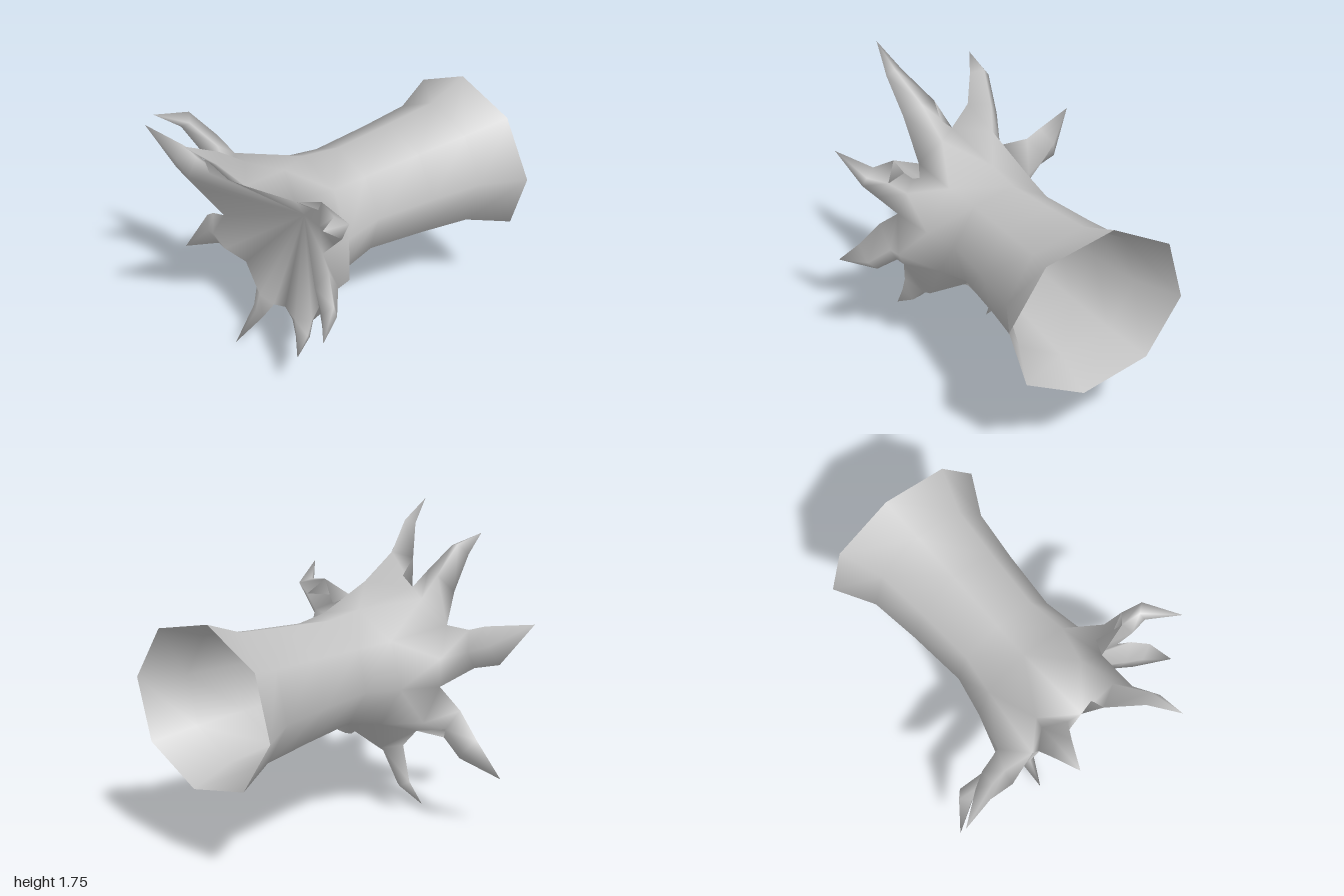
import * as THREE from 'three';

const V = (p) => new THREE.Vector3(...p);

// Claws in counter-clockwise order. Each has the notch before it, two
// cross-sections (x, y, z, half width, half thickness) and a pointed tip.
const CLAWS = [
  { notch: [0.52, 0.98, 0.35], low: [0.58, 1.21, 0.36, 0.115, 0.08], high: [0.68, 1.245, 0.37, 0.06, 0.06], tip: [0.79, 1.36, 0.54] },
  { notch: [0.35, 1.23, 0.4], low: [0.2, 1.43, 0.67, 0.105, 0.08], high: [0.27, 1.61, 0.83, 0.05, 0.045], tip: [0.29, 1.75, 1.0] },
  { notch: [0.03, 1.3, 0.59], low: [-0.18, 1.37, 0.6, 0.11, 0.08], high: [-0.225, 1.54, 0.71, 0.065, 0.055], tip: [-0.25, 1.62, 0.87] },
  { notch: [-0.27, 1.13, 0.55], low: [-0.47, 1.03, 0.53, 0.11, 0.11], high: [-0.6, 1.07, 0.55, 0.115, 0.06], tip: [-0.81, 1.21, 0.65] },
  { notch: [-0.31, 0.79, 0.45], low: [-0.43, 0.6, 0.42, 0.11, 0.08], high: [-0.59, 0.5, 0.37, 0.09, 0.06], tip: [-0.74, 0.33, 0.48] },
  { notch: [-0.19, 0.51, 0.39], low: [-0.02, 0.38, 0.37, 0.09, 0.07], high: [-0.12, 0.18, 0.36, 0.05, 0.04], tip: [-0.14, 0.0, 0.51] },
  { notch: [0.2, 0.43, 0.38], low: [0.38, 0.46, 0.39, 0.11, 0.07], high: [0.42, 0.39, 0.42, 0.07, 0.05], tip: [0.48, 0.31, 0.49] },
  { notch: [0.5, 0.65, 0.34], low: [0.57, 0.8, 0.38, 0.14, 0.08], high: [0.68, 0.71, 0.43, 0.11, 0.05], tip: [0.81, 0.67, 0.55] },
];

// Trunk rings from the open end forwards: z, centre y, x radius, y radius
const RINGS = [
  [-1, 0.91, 0.53, 0.465],
  [-0.76, 0.91, 0.4, 0.375],
  [-0.45, 0.91, 0.36, 0.345],
  [-0.1, 0.91, 0.33, 0.315],
  [0.13, 0.89, 0.375, 0.36],
];

// Sunken middle of the front
const CENTRE = V([0.1, 0.92, 0.18]);

export function createModel() {
  const points = [];
  const index = [];
  const add = (v) => points.push(v.x, v.y, v.z) / 3 - 1;
  const tri = (a, b, c) => index.push(a, b, c);
  const n = CLAWS.length;
  const angle = (i) => ((8 + 45 * i) * Math.PI) / 180;

  // Flared eight-sided trunk, open at the back
  const rings = RINGS.map(([z, cy, rx, ry]) =>
    CLAWS.map((_, i) => add(V([0.08 + rx * Math.cos(angle(i)), cy + ry * Math.sin(angle(i)), z]))));
  for (let r = 0; r < rings.length - 1; r++) {
    for (let i = 0; i < n; i++) {
      const j = (i + 1) % n;
      tri(rings[r][i], rings[r][j], rings[r + 1][i]);
      tri(rings[r][j], rings[r + 1][j], rings[r + 1][i]);
    }
  }

  // Notches between the claws
  const centre = add(CENTRE);
  const notches = CLAWS.map((c) => add(V(c.notch)));
  const rim = rings[rings.length - 1];

  // Four-cornered section: clockwise side, back, other side, front
  const section = ([x, y, z, w, t], axis) => {
    const p = V([x, y, z]);
    const side = V([0, 0, 1]).cross(axis).normalize();
    const front = axis.clone().cross(side).normalize();
    return [[side, -w], [front, -t], [side, w], [front, t * 0.6]]
      .map(([d, k]) => add(p.clone().addScaledVector(d, k)));
  };

  CLAWS.forEach((c, i) => {
    const j = (i + 1) % n;
    const a = angle(i + 0.5);

    // Knuckle behind the claw, bulging out between its two notches
    const knuckle = V(c.notch).lerp(V(CLAWS[j].notch), 0.5)
      .add(V([0.08 * Math.cos(a), 0.08 * Math.sin(a), -0.12]));
    const back = add(knuckle);
    tri(rim[i], rim[j], back);
    tri(rim[i], back, notches[i]);
    tri(rim[j], notches[j], back);

    // Claw running out to its tip
    const low = V(c.low.slice(0, 3));
    const high = V(c.high.slice(0, 3));
    const tip = V(c.tip);
    const sections = [
      [notches[i], back, notches[j], centre],
      section(c.low, high.clone().sub(CENTRE).normalize()),
      section(c.high, tip.clone().sub(low).normalize()),
    ];
    for (let s = 0; s < 2; s++) {
      const [p, q] = [sections[s], sections[s + 1]];
      for (let k = 0; k < 4; k++) {
        const m = (k + 1) % 4;
        tri(p[k], p[m], q[k]);
        tri(p[m], q[m], q[k]);
      }
    }
    const end = add(tip);
    for (let k = 0; k < 4; k++) tri(sections[2][k], sections[2][(k + 1) % 4], end);
  });

  const geometry = new THREE.BufferGeometry();
  geometry.setAttribute('position', new THREE.Float32BufferAttribute(points, 3));
  geometry.setIndex(index);
  geometry.computeVertexNormals();

  const grey = new THREE.MeshStandardMaterial({ color: 0xc4c4c4, side: THREE.DoubleSide });
  grey.name = 'grey';
  const trunk = new THREE.Mesh(geometry, grey);
  trunk.name = 'clawedTrunk';

  const group = new THREE.Group();
  group.name = 'clawedStump';
  group.add(trunk);
  return group;
}
